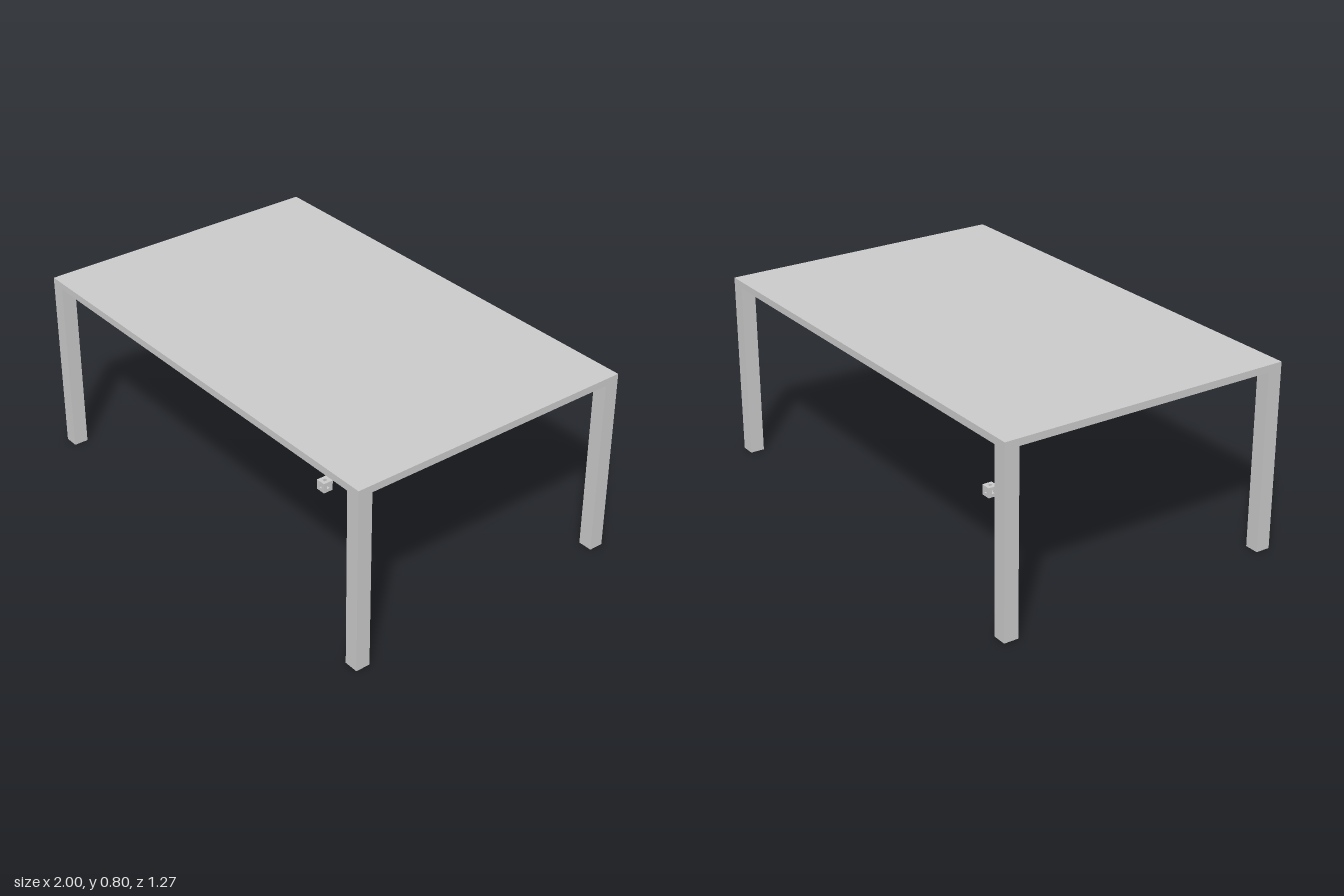
import * as THREE from 'three';

const material = new THREE.MeshStandardMaterial({ color: 0xcccccc, flatShading: true });

function addBox(parent, name, size, position) {
  const mesh = new THREE.Mesh(new THREE.BoxGeometry(...size), material);
  mesh.name = name;
  mesh.position.set(...position);
  parent.add(mesh);
  return mesh;
}

// Small cube with a square hole through each pair of faces
function createHollowCube(size) {
  const cube = new THREE.Group();
  cube.name = 'hollowCube';
  const t = size / 3, h = size / 2;

  const frame = new THREE.Shape([
    new THREE.Vector2(-h, -h), new THREE.Vector2(h, -h),
    new THREE.Vector2(h, h), new THREE.Vector2(-h, h),
  ]);
  frame.holes.push(new THREE.Path([
    new THREE.Vector2(-t / 2, -t / 2), new THREE.Vector2(-t / 2, t / 2),
    new THREE.Vector2(t / 2, t / 2), new THREE.Vector2(t / 2, -t / 2),
  ]));
  const frameGeometry = new THREE.ExtrudeGeometry(frame, { depth: t, bevelEnabled: false });
  frameGeometry.rotateX(-Math.PI / 2);

  // Bottom and top square frames
  for (const [name, y] of [['cubeBottomFrame', 0], ['cubeTopFrame', 2 * t]]) {
    const mesh = new THREE.Mesh(frameGeometry, material);
    mesh.name = name;
    mesh.position.y = y;
    cube.add(mesh);
  }
  // Corner posts between the frames
  for (const x of [-t, t]) for (const z of [-t, t]) {
    addBox(cube, 'cubePost', [t, t, t], [x, h, z]);
  }
  return cube;
}

export function createModel() {
  const model = new THREE.Group();
  model.name = 'table';
  const width = 2, depth = 1.27, height = 0.795, topThickness = 0.03, leg = 0.062;
  const legHeight = height - topThickness;

  // Table top
  addBox(model, 'tableTop', [width, topThickness, depth], [0, height - topThickness / 2, 0]);

  // Four square legs, flush with the corners
  for (const sx of [-1, 1]) for (const sz of [-1, 1]) {
    const name = (sz > 0 ? 'front' : 'back') + (sx > 0 ? 'Left' : 'Right') + 'Leg';
    addBox(model, name, [leg, legHeight, leg],
      [sx * (width - leg) / 2, legHeight / 2, sz * (depth - leg) / 2]);
  }

  // Cube standing on the ground under the table
  const cube = createHollowCube(0.047);
  cube.position.set(0.005, 0, -0.006);
  model.add(cube);
  return model;
}
